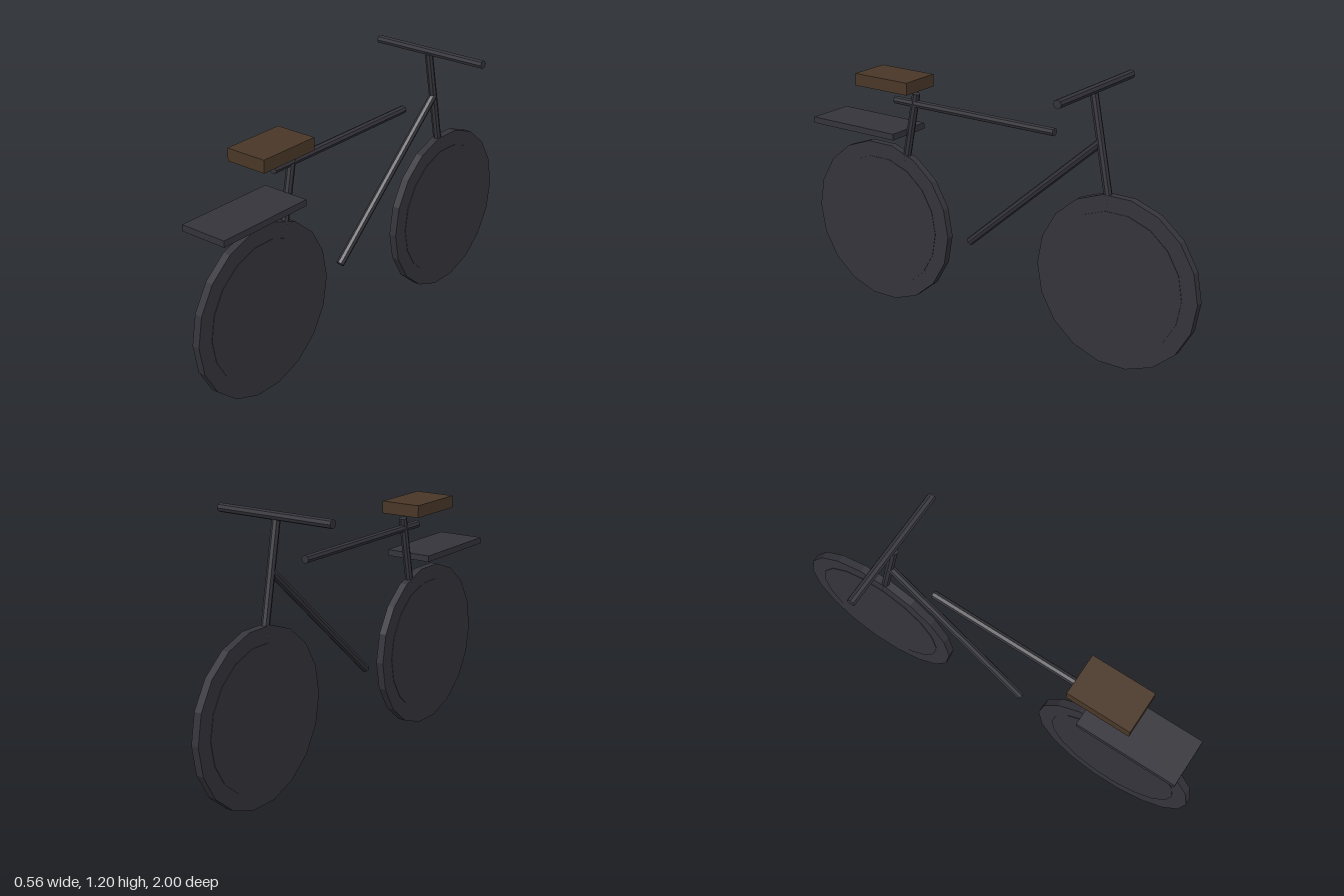
import * as THREE from 'three';

export function createModel() {
  const bike = new THREE.Group();
  const darkMetal = new THREE.MeshStandardMaterial({ color: 0x35343b, flatShading: true });
  darkMetal.name = 'dark metal';
  const brownLeather = new THREE.MeshStandardMaterial({ color: 0x4a3828, flatShading: true });
  brownLeather.name = 'brown leather';

  function add(name, geometry, material, x, y, z, parent = bike) {
    const mesh = new THREE.Mesh(geometry, material);
    mesh.name = name;
    mesh.position.set(x, y, z);
    parent.add(mesh);
    return mesh;
  }

  // Straight tube between two points
  function tube(name, from, to, radius = 0.018) {
    const a = new THREE.Vector3(...from);
    const b = new THREE.Vector3(...to);
    const dir = b.clone().sub(a);
    const mid = a.clone().add(b).multiplyScalar(0.5);
    const mesh = add(name, new THREE.CylinderGeometry(radius, radius, dir.length(), 8), darkMetal, mid.x, mid.y, mid.z);
    mesh.quaternion.setFromUnitVectors(new THREE.Vector3(0, 1, 0), dir.normalize());
  }

  // Solid wheels: tyre with a slightly wider inner disc
  for (const [name, z] of [['frontWheel', -0.62], ['rearWheel', 0.62]]) {
    const wheel = new THREE.Group();
    wheel.name = name;
    wheel.position.set(0, 0.375, z);
    const tyre = new THREE.CylinderGeometry(0.38, 0.38, 0.035, 18).rotateZ(Math.PI / 2);
    const disc = new THREE.CylinderGeometry(0.31, 0.31, 0.039, 18).rotateZ(Math.PI / 2);
    add('tyre', tyre, darkMetal, 0, 0, 0, wheel);
    add('disc', disc, darkMetal, 0, 0, 0, wheel);
    bike.add(wheel);
  }

  // Frame tubes
  tube('topTube', [0, 0.963, 0.535], [0, 0.963, -0.305]);
  tube('downTube', [0, 0.38, 0.13], [0, 0.96, -0.525]);
  tube('seatPost', [0, 1.01, 0.418], [0, 0.69, 0.481]);
  tube('steeringFork', [0, 1.17, -0.486], [0, 0.69, -0.577]);
  tube('handlebar', [-0.28, 1.177, -0.495], [0.28, 1.177, -0.495], 0.019);

  // Saddle and luggage rack
  add('saddle', new THREE.BoxGeometry(0.19, 0.055, 0.29), brownLeather, 0, 1.053, 0.54);
  add('luggageRack', new THREE.BoxGeometry(0.22, 0.028, 0.465), darkMetal, 0, 0.828, 0.697);

  return bike;
}
